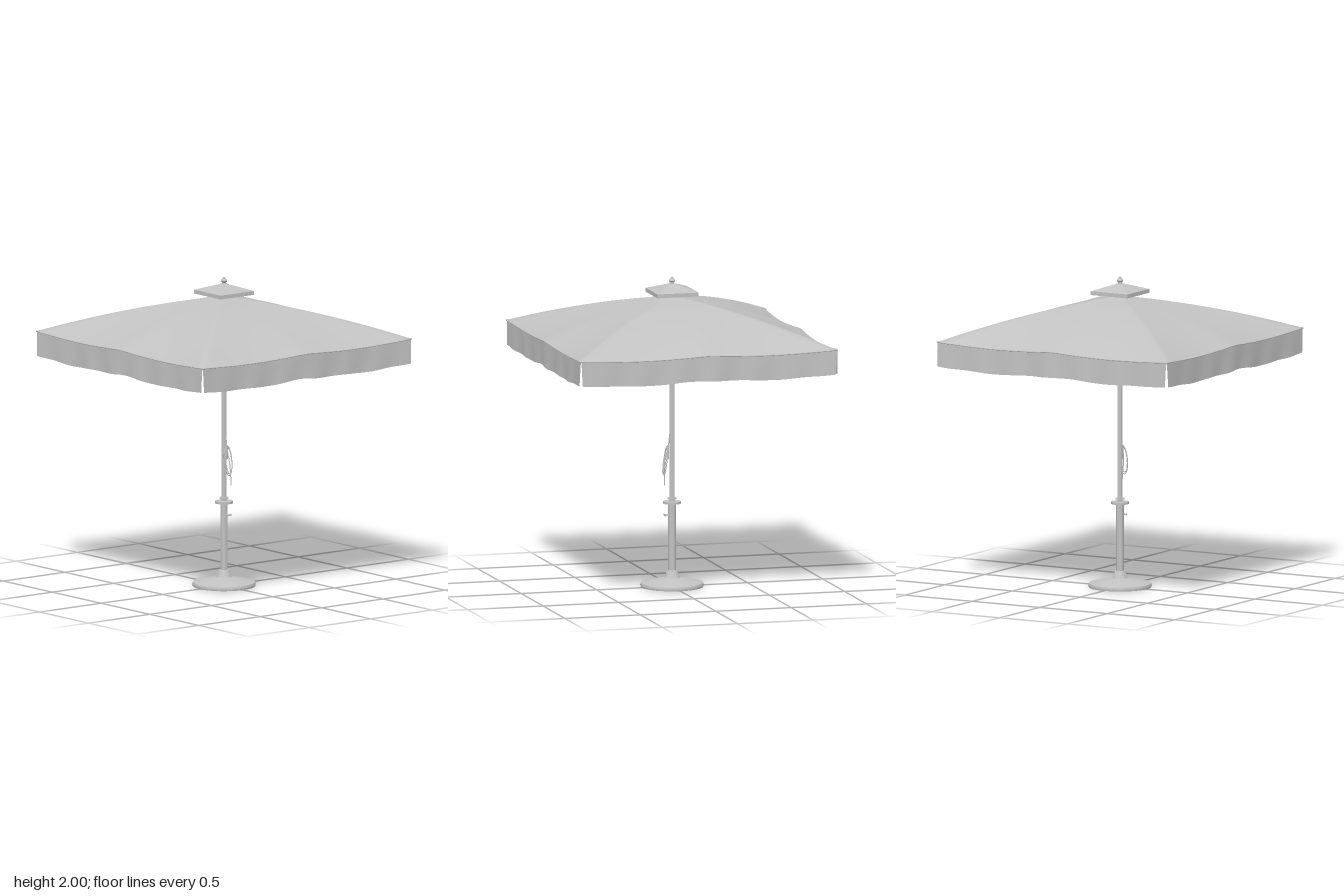
import * as THREE from 'three';
import { toCreasedNormals } from 'three/addons/utils/BufferGeometryUtils.js';

const HALF = 0.85;
const V = (x, y, z) => new THREE.Vector3(x, y, z);

// Height of the canopy along a rib, s = 0 at the pole and 1 at the rim
const ribY = (s) => 1.878 - 0.255 * (0.6 * s + 0.4 * s * s);
// Cloth sag between neighbouring ribs, u = -1..1 along one side
const sag = (u) => Math.abs(Math.sin(Math.PI * u));

function surface(rows, cols, closed, point) {
  const pos = [], idx = [];
  const n = closed ? cols : cols + 1;
  for (let i = 0; i <= rows; i++) {
    for (let j = 0; j < n; j++) pos.push(...point(i / rows, j / cols).toArray());
  }
  for (let i = 0; i < rows; i++) {
    for (let j = 0; j < cols; j++) {
      const k = (j + 1) % n;
      const a = i * n + j, b = i * n + k, c = (i + 1) * n + j, d = (i + 1) * n + k;
      idx.push(a, c, b, b, c, d);
    }
  }
  const g = new THREE.BufferGeometry();
  g.setAttribute('position', new THREE.Float32BufferAttribute(pos, 3));
  g.setIndex(idx);
  g.computeVertexNormals();
  return g;
}

export function createModel() {
  const root = new THREE.Group();
  root.name = 'patioUmbrella';
  const grey = new THREE.MeshStandardMaterial({ color: 0xc2c2c2, side: THREE.DoubleSide });
  grey.name = 'light grey';

  const add = (name, geometry, parent = root) => {
    const m = new THREE.Mesh(geometry, grey);
    m.name = name;
    parent.add(m);
    return m;
  };
  const group = (name) => {
    const g = new THREE.Group();
    g.name = name;
    root.add(g);
    return g;
  };
  const lathe = (name, pts, seg = 32) =>
    add(name, toCreasedNormals(new THREE.LatheGeometry(pts.map((p) => new THREE.Vector2(...p)), seg), 0.6));
  const cyl = (name, r, y0, y1) => lathe(name, [[0, y0], [r, y0], [r, y1], [0, y1]], 24);
  const tube = (name, pts, r, parent, closed = false, seg = 24) =>
    add(name, new THREE.TubeGeometry(new THREE.CatmullRomCurve3(pts, closed), seg, r, 8, closed), parent);

  // Base and pole
  lathe('base', [[0, 0], [0.2, 0], [0.203, 0.012], [0.198, 0.026], [0.13, 0.042], [0.05, 0.056],
    [0.043, 0.065], [0.036, 0.1], [0.033, 0.105], [0, 0.105]], 48);
  cyl('lowerPole', 0.024, 0.1, 0.54);
  cyl('poleCollar', 0.057, 0.535, 0.55);
  cyl('stopRing', 0.03, 0.565, 0.573);
  cyl('upperPole', 0.0175, 0.54, 1.91);

  // Clamp screw on the lower pole
  const clamp = group('clampScrew');
  add('screwShaft', new THREE.CylinderGeometry(0.005, 0.005, 0.03, 10).rotateX(Math.PI / 2), clamp).position.set(0, 0.462, 0.033);
  add('screwWing', new THREE.BoxGeometry(0.044, 0.011, 0.007), clamp).position.set(0, 0.462, 0.046);

  // Coiled cord hanging on a cleat
  const cord = group('cord');
  for (let k = 0; k < 2; k++) {
    const pts = [];
    for (let i = 0; i < 14; i++) {
      const a = (i / 14) * Math.PI * 2;
      pts.push(V((0.03 - 0.006 * k) * Math.sin(a), 0.815 + (0.095 - 0.012 * k) * Math.cos(a),
        0.042 - 0.012 * Math.cos(a) + 0.006 * k));
    }
    tube('cordLoop', pts, 0.0032, cord, true, 48);
  }
  tube('cordStrand', [V(0, 0.985, 0.016), V(0.002, 0.93, 0.022), V(-0.004, 0.87, 0.032), V(0.002, 0.82, 0.03)], 0.0035, cord);
  tube('cordTail', [V(0, 0.86, 0.04), V(0.004, 0.8, 0.052), V(0.012, 0.73, 0.052), V(0.016, 0.655, 0.053)], 0.0032, cord);
  add('cleat', new THREE.BoxGeometry(0.014, 0.085, 0.01), cord).position.set(0, 0.865, 0.026);

  // Sliding hub and top hub
  lathe('slidingHub', [[0.0175, 1.335], [0.026, 1.335], [0.029, 1.345], [0.029, 1.39], [0.036, 1.395],
    [0.036, 1.412], [0.0175, 1.412]], 24);
  lathe('topHub', [[0.0175, 1.795], [0.027, 1.795], [0.034, 1.82], [0.034, 1.845], [0.0175, 1.845]], 24);

  // Four side ribs and four corner ribs, each propped by a strut
  const frame = group('frame');
  for (let k = 0; k < 8; k++) {
    const angle = (k * Math.PI) / 4;
    const reach = HALF * (k % 2 ? Math.SQRT2 : 1);
    const at = (s, drop) => V(Math.sin(angle) * reach * s, ribY(s) - drop, Math.cos(angle) * reach * s);
    tube('rib', [0.03, 0.25, 0.5, 0.75, 0.985].map((s) => at(s, 0.014)), 0.0085, frame);
    const foot = V(Math.sin(angle) * 0.03, 1.402, Math.cos(angle) * 0.03);
    const head = at(0.5, 0.018);
    tube('strut', [foot, foot.clone().lerp(head, 0.5), head], 0.0075, frame, false, 4);
  }

  // Canopy cloth, tight over the ribs and sagging between them
  const SIDE = 24;
  const UP = V(0, 1, 0);
  add('canopy', surface(14, SIDE * 4, true, (t, v) => {
    const s = 0.04 + 0.96 * t;
    const side = Math.min(3, Math.floor(v * 4 + 1e-6));
    const u = (v * 4 - side) * 2 - 1;
    const dip = sag(u) * s * s * s;
    return V(u * HALF * s, ribY(s) - 0.016 * dip, HALF * s - 0.012 * dip)
      .applyAxisAngle(UP, (side * Math.PI) / 2);
  }));

  // Valance: four loose flaps, open at the corners and gently rippled
  const flaps = group('valance');
  for (let k = 0; k < 4; k++) {
    const g = surface(4, 48, false, (t, v) => {
      const u = v * 2 - 1;
      const ripple = 0.006 * Math.sin(u * 21 + k) * t * (1 - u * u * 0.5);
      return V(u * (HALF - 0.003 - 0.008 * t),
        ribY(1) - 0.016 * sag(u) - t * (0.158 + 0.004 * Math.sin(u * 13 + k) * (1 - u * u)),
        HALF - 0.012 * sag(u) + 0.004 * t + ripple);
    });
    add('valanceFlap', g.rotateY((k * Math.PI) / 2), flaps);
  }
  // Hem cord around the rim
  const rim = [];
  for (let k = 0; k < 4; k++) {
    for (let i = 0; i < 16; i++) {
      const u = i / 8 - 1;
      rim.push(V(u * HALF, ribY(1) - 0.016 * sag(u), HALF - 0.012 * sag(u)).applyAxisAngle(UP, (k * Math.PI) / 2));
    }
  }
  tube('hem', rim, 0.004, root, true, 128);

  // Vent cap above the canopy: neck, pyramid roof and short skirt
  cyl('ventNeck', 0.036, 1.862, 1.892);
  const cap = group('ventCap');
  const quarter = Math.PI / 4;
  const square = (r0, r1, h, open) =>
    toCreasedNormals(new THREE.CylinderGeometry(r0 * Math.SQRT2, r1 * Math.SQRT2, h, 4, 1, open).rotateY(quarter), 0.2);
  add('capRoof', square(0.012, 0.136, 0.044, true), cap).position.y = 1.934;
  add('capSkirt', square(0.136, 0.136, 0.025, true), cap).position.y = 1.8995;

  // Finial
  lathe('finial', [[0, 1.945], [0.017, 1.945], [0.017, 1.958], [0.011, 1.962], [0.018, 1.968], [0.021, 1.975],
    [0.017, 1.983], [0.01, 1.988], [0.009, 1.996], [0, 2]], 20);

  return root;
}
